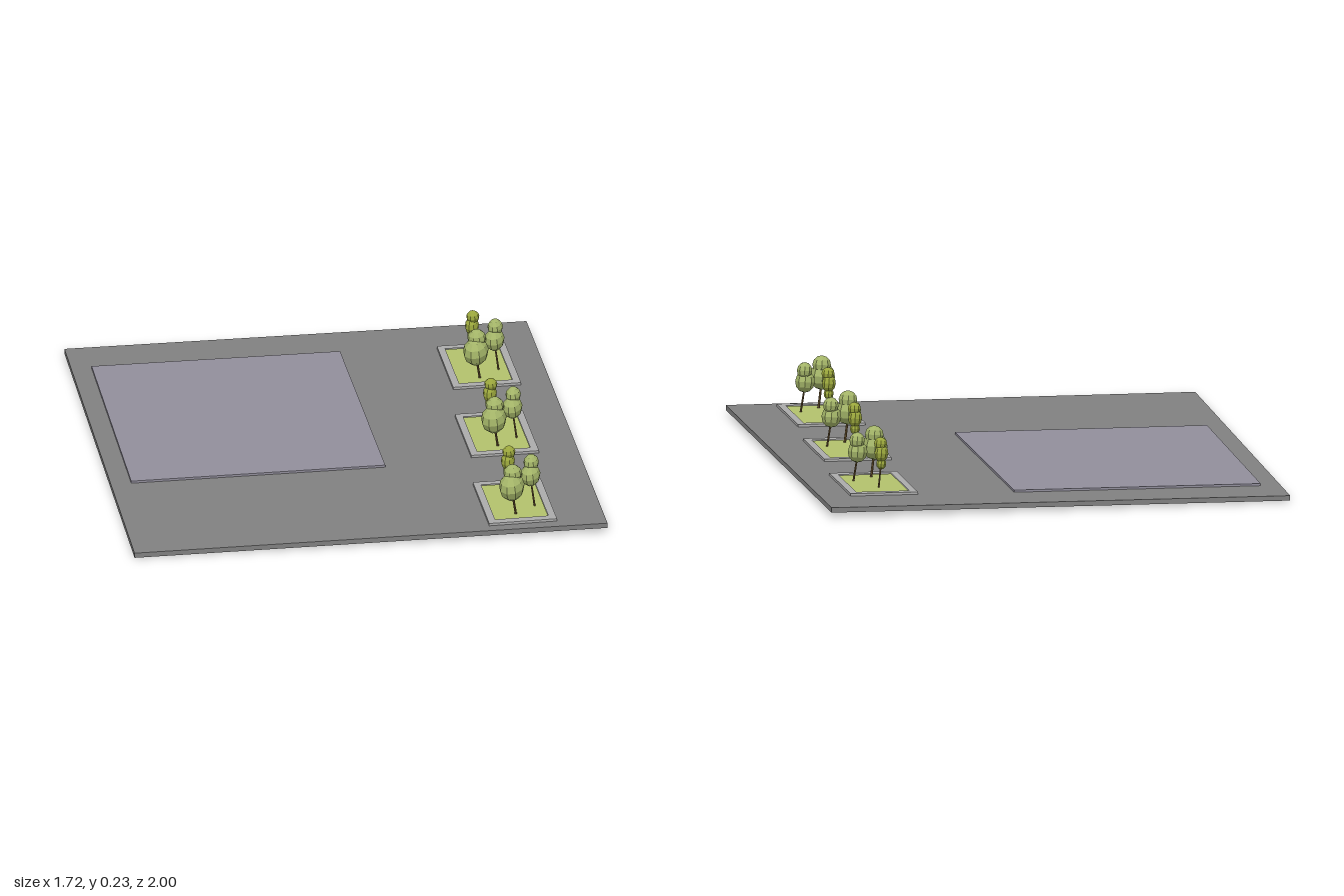
import * as THREE from 'three';

const mat = (color, flatShading = true) => new THREE.MeshStandardMaterial({ color, flatShading });
const paving = mat(0x808080), courtMat = mat(0x918e9b), kerbMat = mat(0xababab);
const grassMat = mat(0xb2c16c), leafMat = mat(0xa3b468), smallLeafMat = mat(0x9aa63c), barkMat = mat(0x6b5530);

// The ground is very slightly tilted
const tilt = (x, z) => 0.008 + 0.008 * x / 0.86 - 0.002 * z;

// Flat plate from x,z corners, optionally with an opening, following the tilt
function plate(name, corners, bottom, top, material, hole) {
  const pts = (list) => list.map(([x, z]) => new THREE.Vector2(x, -z));
  const shape = new THREE.Shape(pts(corners));
  if (hole) shape.holes.push(new THREE.Path(pts(hole)));
  const geo = new THREE.ExtrudeGeometry(shape, { depth: top - bottom, bevelEnabled: false });
  geo.rotateX(-Math.PI / 2);
  const p = geo.attributes.position;
  for (let i = 0; i < p.count; i++) {
    p.setY(i, p.getY(i) + bottom + tilt(p.getX(i), p.getZ(i)));
  }
  geo.computeVertexNormals();
  const mesh = new THREE.Mesh(geo, material);
  mesh.name = name;
  return mesh;
}

// Leaning trunk between two points
function trunk(from, to, radius) {
  const a = new THREE.Vector3(...from), b = new THREE.Vector3(...to);
  const dir = b.clone().sub(a);
  const mesh = new THREE.Mesh(new THREE.CylinderGeometry(radius * 0.8, radius, dir.length(), 6), barkMat);
  mesh.position.copy(a).add(b).multiplyScalar(0.5);
  mesh.quaternion.setFromUnitVectors(new THREE.Vector3(0, 1, 0), dir.normalize());
  mesh.name = 'trunk';
  return mesh;
}

// Faceted clump of leaves
function clump([x, y, z], [rx, ry, rz], material) {
  const mesh = new THREE.Mesh(new THREE.SphereGeometry(1, 9, 6), material);
  mesh.position.set(x, y, z);
  mesh.scale.set(rx, ry, rz);
  mesh.rotation.set(0.15, -0.3, 0.1);
  mesh.name = 'foliage';
  return mesh;
}

// Tree positions are relative to the planter centre
const trees = [
  { name: 'largeTree', root: [-0.008, 0.112], top: [-0.03, 0.145], r: 0.005, leaf: leafMat,
    clumps: [[-0.029, 0.15, 0.135, 0.046, 0.05, 0.06], [-0.024, 0.195, 0.122, 0.034, 0.033, 0.036]] },
  { name: 'mediumTree', root: [0.068, 0.055], top: [0.052, 0.035], r: 0.004, leaf: leafMat,
    clumps: [[0.052, 0.152, 0.035, 0.036, 0.04, 0.048], [0.056, 0.195, 0.024, 0.028, 0.03, 0.034]] },
  { name: 'smallTree', root: [-0.002, -0.078], top: [-0.015, -0.076], r: 0.0035, leaf: smallLeafMat,
    clumps: [[-0.015, 0.165, -0.076, 0.025, 0.032, 0.035], [-0.012, 0.2, -0.074, 0.024, 0.023, 0.025],
      [-0.014, 0.127, -0.077, 0.018, 0.021, 0.025]] },
];

function planter(cx, cz) {
  const group = new THREE.Group();
  group.name = 'planter';
  const at = (list) => list.map(([x, z]) => [x + cx, z + cz]);
  const outer = at([[-0.126, -0.199], [0.12, -0.202], [0.127, 0.196], [-0.12, 0.205]]);
  const inner = at([[-0.1, -0.169], [0.094, -0.171], [0.1, 0.162], [-0.094, 0.17]]);
  group.add(plate('kerb', outer, 0.016, 0.029, kerbMat, inner));
  group.add(plate('grass', inner, 0.016, 0.026, grassMat));
  for (const t of trees) {
    const tree = new THREE.Group();
    tree.name = t.name;
    tree.add(trunk([cx + t.root[0], 0.015, cz + t.root[1]], [cx + t.top[0], 0.14, cz + t.top[1]], t.r));
    for (const [x, y, z, rx, ry, rz] of t.clumps) {
      tree.add(clump([cx + x, y, cz + z], [rx, ry, rz], t.leaf));
    }
    group.add(tree);
  }
  return group;
}

export function createModel() {
  const model = new THREE.Group();
  model.name = 'plaza';
  // Ground slab and raised court
  model.add(plate('ground', [[-0.852, -0.99], [0.825, -1], [0.857, 0.975], [-0.862, 1]], 0.002, 0.02, paving));
  model.add(plate('court', [[-0.78, -0.79], [0.122, -0.796], [0.138, 0.317], [-0.785, 0.33]], 0.016, 0.028, courtMat));
  // Row of planters
  for (let i = 0; i < 3; i++) model.add(planter(0.598 - 0.0225 * i, -0.59 + 0.66 * i));
  return model;
}
